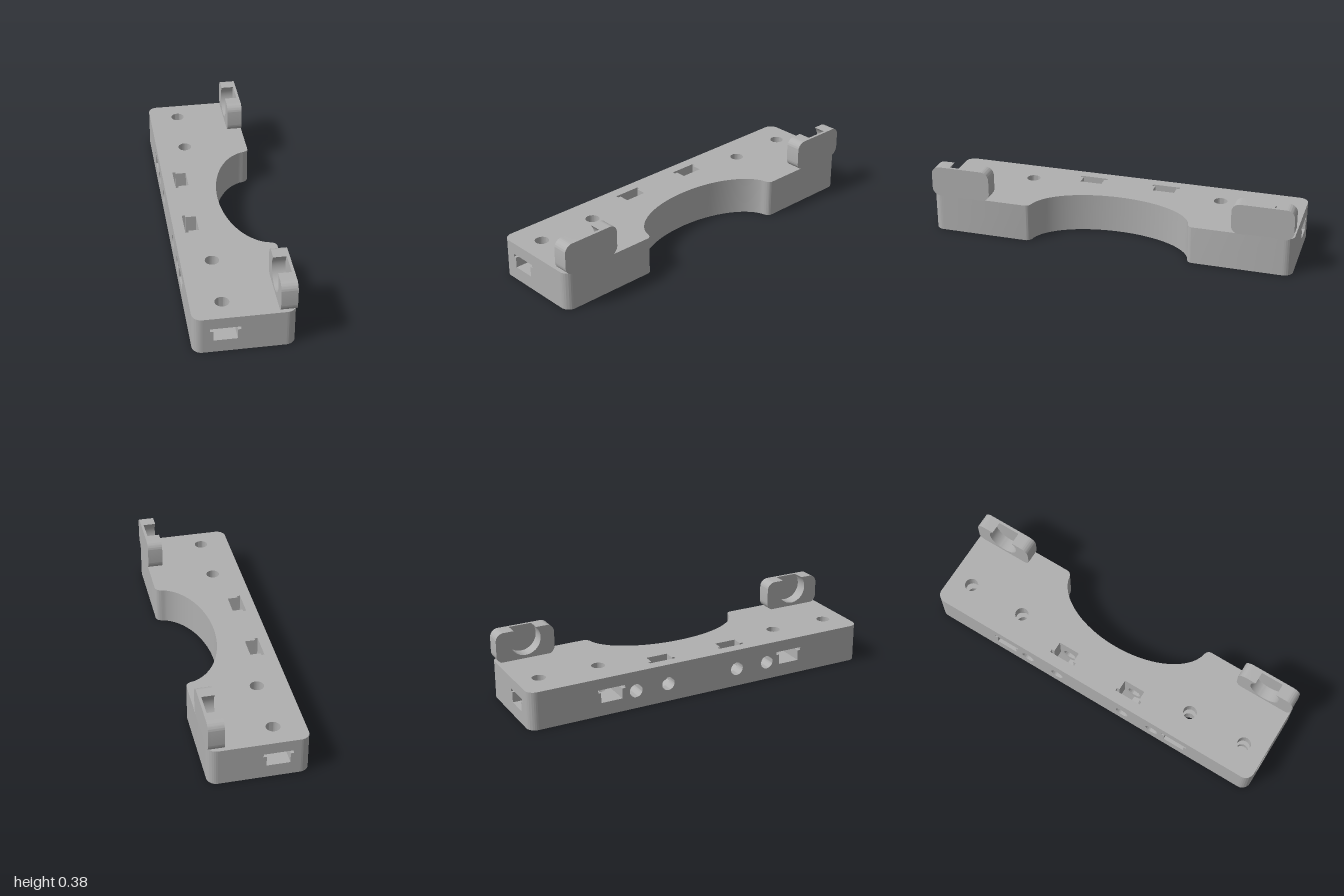
import * as THREE from 'three';
import { toCreasedNormals } from 'three/addons/utils/BufferGeometryUtils.js';

const grey = new THREE.MeshStandardMaterial({ color: 0xb0b0b0, side: THREE.DoubleSide });
grey.name = 'grey plastic';

const W = 0.26, H = 0.21, R = 0.05;          // half width, height, corner radius
const BOLT = 0.037, BOLT_X = -0.096;         // bolt hole radius and line
const NUT = 0.061, WASHER = 0.077;           // pocket half widths
const NUT_H = 0.057, POCKET_H = 0.074;       // pocket levels along the bolt
const BASE = 0.073;                          // height of the horizontal pockets

const pts = (list) => list.map(([x, y]) => new THREE.Vector2(x, y));

function part(parent, name, geometry) {
  const mesh = new THREE.Mesh(geometry, grey);
  mesh.name = name;
  parent.add(mesh);
  return mesh;
}

// Strip of wall along a path in (x, y), rising from z = a to z = b
function wall(path, a, b, skip = () => false) {
  const pos = [];
  for (let i = 0; i + 1 < path.length; i++) {
    const p = path[i], q = path[i + 1];
    if (skip(p, q) || p.distanceTo(q) < 1e-6) continue;
    pos.push(p.x, p.y, a, q.x, q.y, a, q.x, q.y, b, p.x, p.y, a, q.x, q.y, b, p.x, p.y, b);
  }
  const g = new THREE.BufferGeometry();
  g.setAttribute('position', new THREE.Float32BufferAttribute(pos, 3));
  return toCreasedNormals(g, 0.6);
}

function face(shape, holes = []) {
  shape.holes.push(...holes);
  return new THREE.ShapeGeometry(shape, 24);
}

const circle = (x, y, r = BOLT) => new THREE.Path().absarc(x, y, r, 0, Math.PI * 2, true);

// Stepped mouth of a nut pocket, in (across, along the bolt)
function mouth(map) {
  return new THREE.Path(pts([[-NUT, 0], [NUT, 0], [NUT, NUT_H], [WASHER, NUT_H], [WASHER, POCKET_H],
    [-WASHER, POCKET_H], [-WASHER, NUT_H], [-NUT, NUT_H]].map(([u, w]) => map(u, w))));
}

// Plan of the body in (x, z)
function bodyShape() {
  const s = new THREE.Shape();
  s.moveTo(-W + R, -1);
  s.lineTo(W - R, -1);
  s.absarc(W - R, -1 + R, R, -Math.PI / 2, 0, false);
  s.lineTo(W, -0.465);
  s.quadraticCurveTo(0.257, -0.438, 0.215, -0.4325);
  const t = Math.acos(0.045 / 0.245);
  s.absellipse(W, 0, 0.245, 0.44, Math.PI + t, Math.PI - t, true);
  s.quadraticCurveTo(0.257, 0.438, W, 0.465);
  s.lineTo(W, 1 - R);
  s.absarc(W - R, 1 - R, R, 0, Math.PI / 2, false);
  s.lineTo(-W + R, 1);
  s.absarc(-W + R, 1 - R, R, Math.PI / 2, Math.PI, false);
  s.lineTo(-W, -1 + R);
  s.absarc(-W + R, -1 + R, R, Math.PI, Math.PI * 1.5, false);
  return s;
}

const rect = (a, b) => new THREE.Shape(pts([[a, 0], [b, 0], [b, H], [a, H]]));

// Slide-in nut and washer pocket with its bolt hole.
// Local axes: x across, y into the body, z along the bolt.
function pocket(origin, into, axis, depth, up, down, blind) {
  const g = new THREE.Group();
  g.name = 'nutPocket';
  const nut = pts([[-NUT, 0], [-NUT, depth + 0.035], [0, depth + 0.0705], [NUT, depth + 0.035], [NUT, 0]]);
  const washer = pts([[-WASHER, 0]]);
  for (let i = 0; i <= 24; i++) {
    const a = Math.PI * (1 - i / 24);
    washer.push(new THREE.Vector2(WASHER * Math.cos(a), depth + WASHER * Math.sin(a)));
  }
  washer.push(new THREE.Vector2(WASHER, 0));

  part(g, 'nutSides', wall(nut, 0, NUT_H));
  part(g, 'washerSides', wall(washer, NUT_H, POCKET_H));
  part(g, 'nutSeat', face(new THREE.Shape(nut), [circle(0, depth)]));
  part(g, 'washerSeat', face(new THREE.Shape([...washer, ...nut.slice().reverse()]))).position.z = NUT_H;
  part(g, 'washerRoof', face(new THREE.Shape(washer), [circle(0, depth)])).position.z = POCKET_H;

  const ring = circle(0, depth).getPoints(24);
  part(g, 'boltHole', wall(ring, POCKET_H, POCKET_H + up));
  part(g, 'boltHoleEnd', wall(ring, -down, 0));
  if (blind) part(g, 'boltHoleFloor', new THREE.CircleGeometry(BOLT, 24)).position.set(0, depth, -down);

  const v = new THREE.Vector3(...into), w = new THREE.Vector3(...axis);
  g.applyMatrix4(new THREE.Matrix4().makeBasis(v.clone().cross(w), v, w).setPosition(...origin));
  return g;
}

// Rounded lug with a round recess open at the top, in (z, y) about its centre
function lug(z) {
  const g = new THREE.Group();
  g.name = 'lug';
  const hw = 0.165, lo = 0.206, hi = 0.375, r = 0.045;
  const cy = 0.315, rr = 0.087, a = Math.asin((hi - cy) / rr), gap = rr * Math.cos(a);
  const outline = (open) => {
    const s = new THREE.Shape();
    s.moveTo(-hw + r, lo);
    s.lineTo(hw - r, lo);
    s.absarc(hw - r, lo + r, r, -Math.PI / 2, 0, false);
    s.absarc(hw - r, hi - r, r, 0, Math.PI / 2, false);
    if (open) {
      s.lineTo(gap, hi);
      s.absarc(0, cy, rr, a, Math.PI - a, true);
    }
    s.absarc(-hw + r, hi - r, r, Math.PI / 2, Math.PI, false);
    s.absarc(-hw + r, lo + r, r, Math.PI, Math.PI * 1.5, false);
    return s;
  };
  const slab = (name, open, x, depth) => {
    const geo = new THREE.ExtrudeGeometry(outline(open), { depth, bevelEnabled: false, curveSegments: 20 });
    geo.rotateY(Math.PI / 2);
    part(g, name, toCreasedNormals(geo, 0.6)).position.x = x;
  };
  slab('lugRing', true, 0.176, 0.069);
  slab('lugBack', false, 0.245, 0.015);
  g.position.z = z;
  return g;
}

export function createModel() {
  const model = new THREE.Group();
  model.name = 'mountingBracket';
  const body = new THREE.Group();
  body.name = 'body';
  model.add(body);

  const both = (...zs) => zs.flatMap((z) => [z, -z]);

  // Top and bottom faces
  const topHoles = [
    ...both(0.54, 0.875).map((z) => circle(BOLT_X, z)),
    ...both(0.21).map((z) => mouth((u, w) => [-0.126 - w, z + u])),
  ];
  const top = face(bodyShape(), topHoles).rotateX(-Math.PI / 2);
  part(body, 'topFace', top).position.y = H;
  part(body, 'bottomFace', face(bodyShape(), both(0.54).map((z) => circle(BOLT_X, z))).rotateX(Math.PI / 2));

  // Rounded corners, straight right side and curved cutout
  const plan = bodyShape().getPoints(24);
  plan.push(plan[0].clone());
  const near = (a, b) => Math.abs(a - b) < 1e-5;
  const flat = (p, q) => (near(p.x, -W) && near(q.x, -W)) || (near(p.y, q.y) && near(Math.abs(p.y), 1));
  part(body, 'outerWall', wall(plan, -H, 0, flat).rotateX(Math.PI / 2));

  // Long face with bolt holes and pocket mouths
  const sideHoles = [
    ...both(0.21, 0.4).map((z) => circle(z, 0.1)),
    ...both(0.54).map((z) => mouth((u, w) => [z + u, BASE + w])),
  ];
  part(body, 'longFace', face(rect(-1 + R, 1 - R), sideHoles).rotateY(-Math.PI / 2)).position.x = -W;

  for (const s of [1, -1]) {
    // End faces
    const opening = mouth((u, w) => [BOLT_X + u, BASE + w]);
    part(body, 'endFace', face(rect(-W + R, W - R), [opening])).position.z = s;

    // Pockets entered from the end, the long face and the top
    const up = H - BASE - POCKET_H;
    model.add(pocket([BOLT_X, BASE, s], [0, 0, -s], [0, 1, 0], 0.125, up, 0.035, true));
    model.add(pocket([-W, BASE, s * 0.54], [1, 0, 0], [0, 1, 0], W + BOLT_X, up, BASE, false));
    model.add(pocket([-0.126, H, s * 0.21], [0, -1, 0], [-1, 0, 0], 0.11, W - 0.126 - POCKET_H, 0.06, true));

    // Plain blind hole in the long face
    const ring = circle(0, 0).getPoints(24);
    part(model, 'blindHole', wall(ring, 0, 0.2).rotateY(Math.PI / 2)).position.set(-W, 0.1, s * 0.4);
    part(model, 'blindHoleFloor', new THREE.CircleGeometry(BOLT, 24).rotateY(-Math.PI / 2))
      .position.set(-W + 0.2, 0.1, s * 0.4);

    model.add(lug(s * 0.835));
  }
  return model;
}
